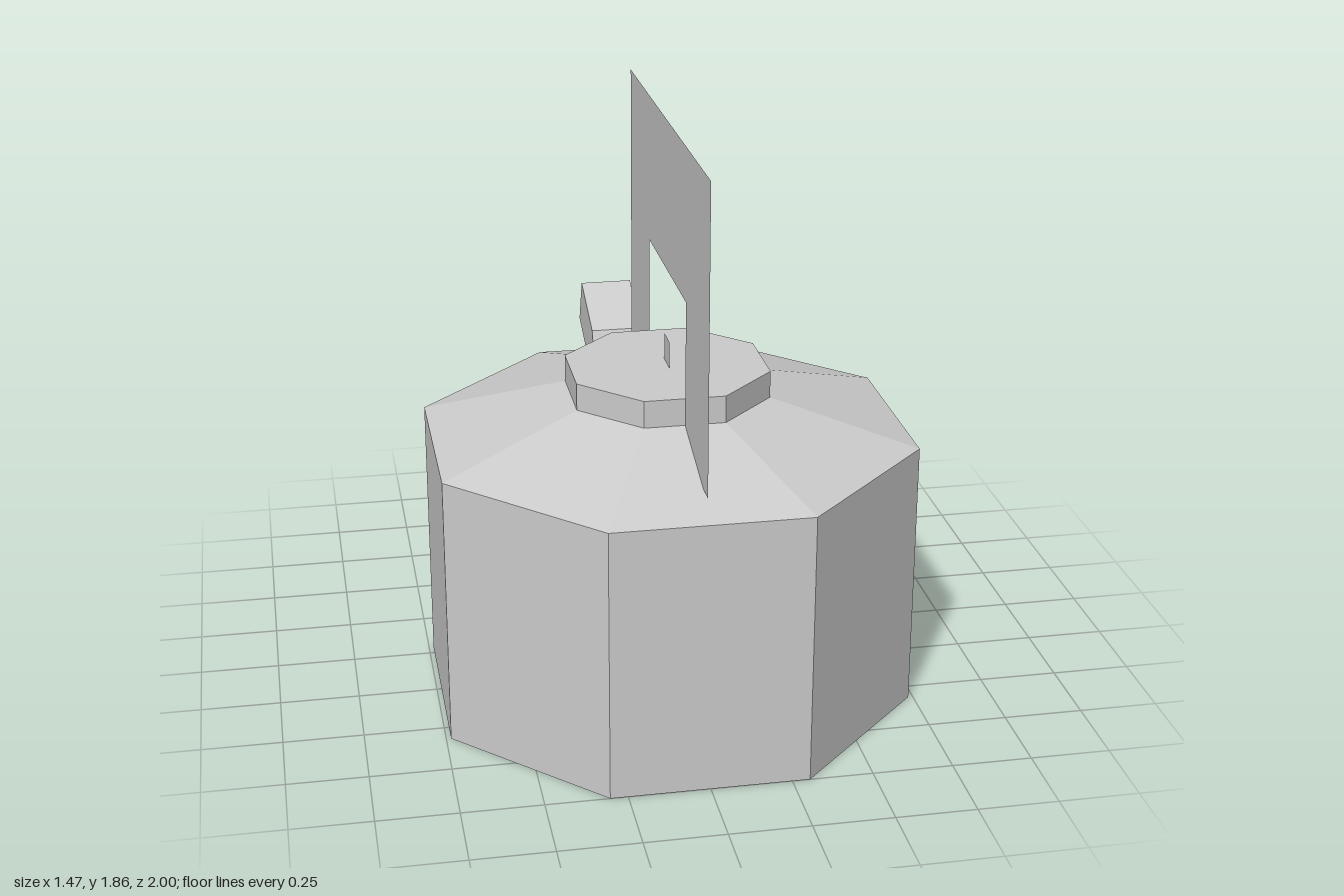
import * as THREE from 'three';

const BODY_Z = 0.265; // centre of the octagonal body
const toRadius = (apothem) => apothem / Math.cos(Math.PI / 8);

const grey = new THREE.MeshStandardMaterial({ color: 0xcccccc, flatShading: true });
const thinGrey = new THREE.MeshStandardMaterial({ color: 0xcccccc, flatShading: true, side: THREE.DoubleSide });

// Shape in the side plane from [z, y] points
function sideShape(points) {
  return new THREE.Shape(points.map(([z, y]) => new THREE.Vector2(-z, y)));
}

// Solid of the given width, centred on x = 0
function sideSolid(name, points, width) {
  const geo = new THREE.ExtrudeGeometry(sideShape(points), { depth: width, bevelEnabled: false });
  geo.translate(0, 0, -width / 2).rotateY(Math.PI / 2);
  const mesh = new THREE.Mesh(geo, grey);
  mesh.name = name;
  return mesh;
}

// Flat sheet on x = 0
function sideSheet(name, points) {
  const geo = new THREE.ShapeGeometry(sideShape(points)).rotateY(Math.PI / 2);
  const mesh = new THREE.Mesh(geo, thinGrey);
  mesh.name = name;
  return mesh;
}

// Octagonal section with flats facing the axes
function octagon(name, topApothem, bottomApothem, y0, y1, open = false) {
  const geo = new THREE.CylinderGeometry(toRadius(topApothem), toRadius(bottomApothem), y1 - y0, 8, 1, open);
  geo.rotateY(Math.PI / 8).translate(0, (y0 + y1) / 2, BODY_Z);
  const mesh = new THREE.Mesh(geo, grey);
  mesh.name = name;
  return mesh;
}

export function createModel() {
  const kettle = new THREE.Group();
  kettle.name = 'kettle';

  // Body, sloping shoulder and lid
  kettle.add(
    octagon('body', 0.735, 0.735, 0, 0.867),
    octagon('shoulder', 0.302, 0.735, 0.867, 0.998, true),
    octagon('lid', 0.302, 0.302, 0.998, 1.084),
  );

  // Paper-thin lid knob and handle arch
  kettle.add(
    sideSheet('lidKnob', [[0.308, 1.08], [0.223, 1.08], [0.223, 1.17], [0.308, 1.17]]),
    sideSheet('handle', [
      [0.915, 0.912], [0.57, 0.912], [0.57, 1.39], [-0.037, 1.39],
      [-0.037, 0.912], [-0.382, 0.912], [-0.382, 1.86], [0.915, 1.86],
    ]),
  );

  // Wedge at the spout root, then the bent spout
  kettle.add(
    sideSolid('spoutBase', [[-0.468, 0.122], [-0.653, 0.307], [-0.468, 0.492]], 0.26),
    sideSolid('spout', [
      [-0.522, 0.438], [-0.653, 0.307], [-0.825, 0.72],
      [-0.998, 0.79], [-0.935, 0.946], [-0.693, 0.85],
    ], 0.176),
  );

  return kettle;
}
